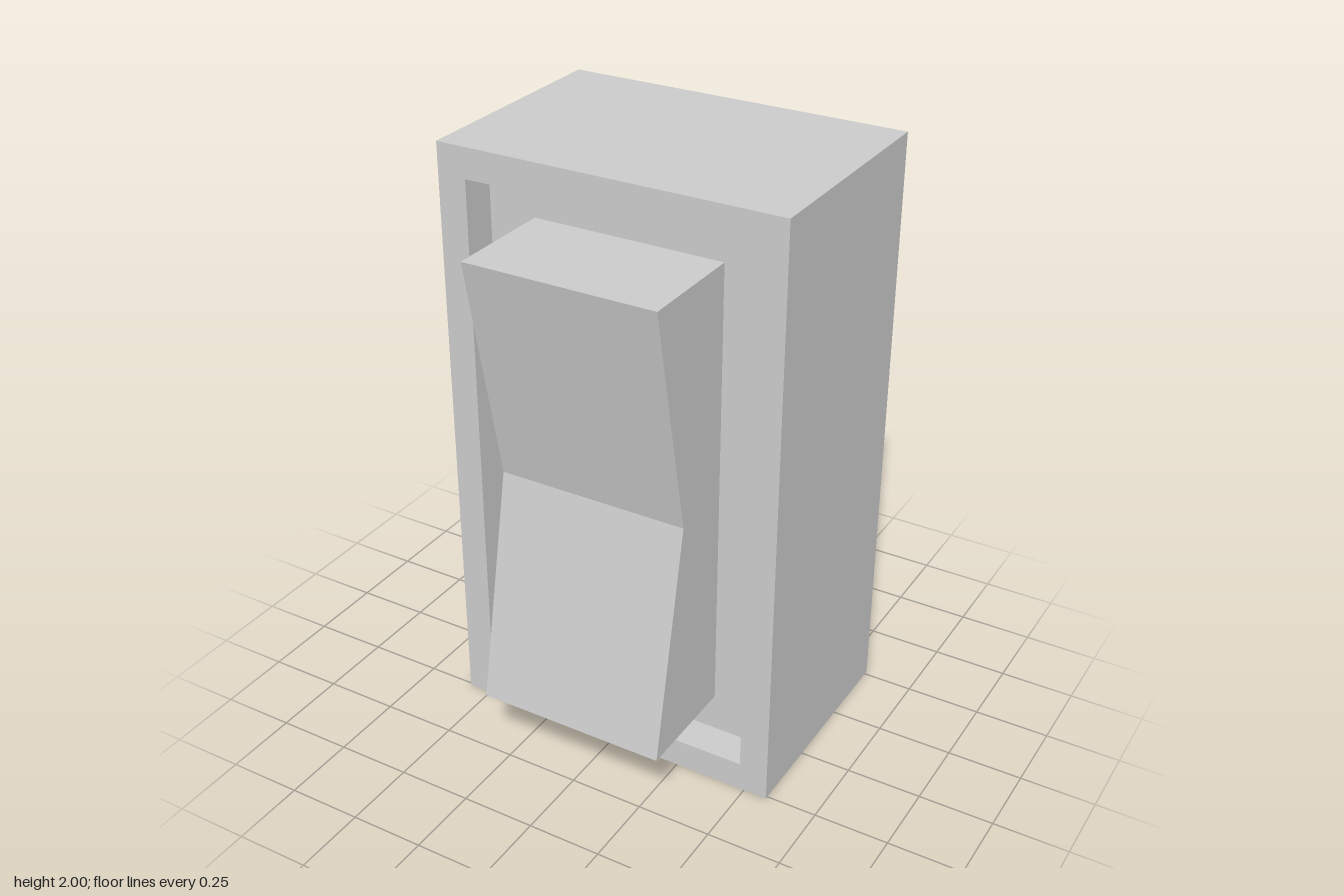
import * as THREE from 'three';
import { mergeGeometries } from 'three/addons/utils/BufferGeometryUtils.js';

const W = 1.16, H = 2, BACK = -0.515, FRONT = 0.26;
const OPEN_W = 0.965, OPEN_H = 1.8, PAN = 0.14;

// Open rectangular sleeve of four thin walls between two depths, centred on y = 1
function sleeve(w, h, z0, z1) {
  const d = z1 - z0, parts = [];
  for (const s of [-1, 1]) {
    parts.push(new THREE.PlaneGeometry(d, h).rotateY(s * Math.PI / 2).translate(s * w / 2, 0, 0));
    parts.push(new THREE.PlaneGeometry(w, d).rotateX(-s * Math.PI / 2).translate(0, s * h / 2, 0));
  }
  return mergeGeometries(parts).translate(0, 1, (z0 + z1) / 2);
}

function rectPoints(w, h) {
  return [[-1, -1], [1, -1], [1, 1], [-1, 1]].map(([x, y]) => new THREE.Vector2(x * w / 2, y * h / 2));
}

export function createModel() {
  const group = new THREE.Group();
  const thin = new THREE.MeshStandardMaterial({ color: 0xcccccc, side: THREE.DoubleSide });
  const solid = new THREE.MeshStandardMaterial({ color: 0xcccccc, flatShading: true });
  const add = (name, geometry, material) => {
    const mesh = new THREE.Mesh(geometry, material);
    mesh.name = name;
    group.add(mesh);
  };

  // Housing, open at the back
  add('housingWalls', sleeve(W, H, BACK, FRONT), thin);

  // Front frame with its opening
  const frame = new THREE.Shape(rectPoints(W, H));
  frame.holes.push(new THREE.Path(rectPoints(OPEN_W, OPEN_H)));
  add('frontFrame', new THREE.ShapeGeometry(frame).translate(0, 1, FRONT), thin);

  // Shallow recess behind the opening
  add('recessWalls', sleeve(OPEN_W, OPEN_H, PAN, FRONT), thin);
  add('recessPanel', new THREE.PlaneGeometry(OPEN_W, OPEN_H).translate(0, 1, PAN), thin);

  // Rocker: side profile (z, y) with a V-shaped face, extruded across x
  const profile = new THREE.Shape(
    [[PAN, 0.23], [0.515, 0.23], [0.36, 1], [0.515, 1.77], [PAN, 1.77]].map(p => new THREE.Vector2(...p))
  );
  const rocker = new THREE.ExtrudeGeometry(profile, { depth: 0.644, bevelEnabled: false });
  add('rocker', rocker.translate(0, 0, -0.322).rotateY(-Math.PI / 2), solid);

  return group;
}
